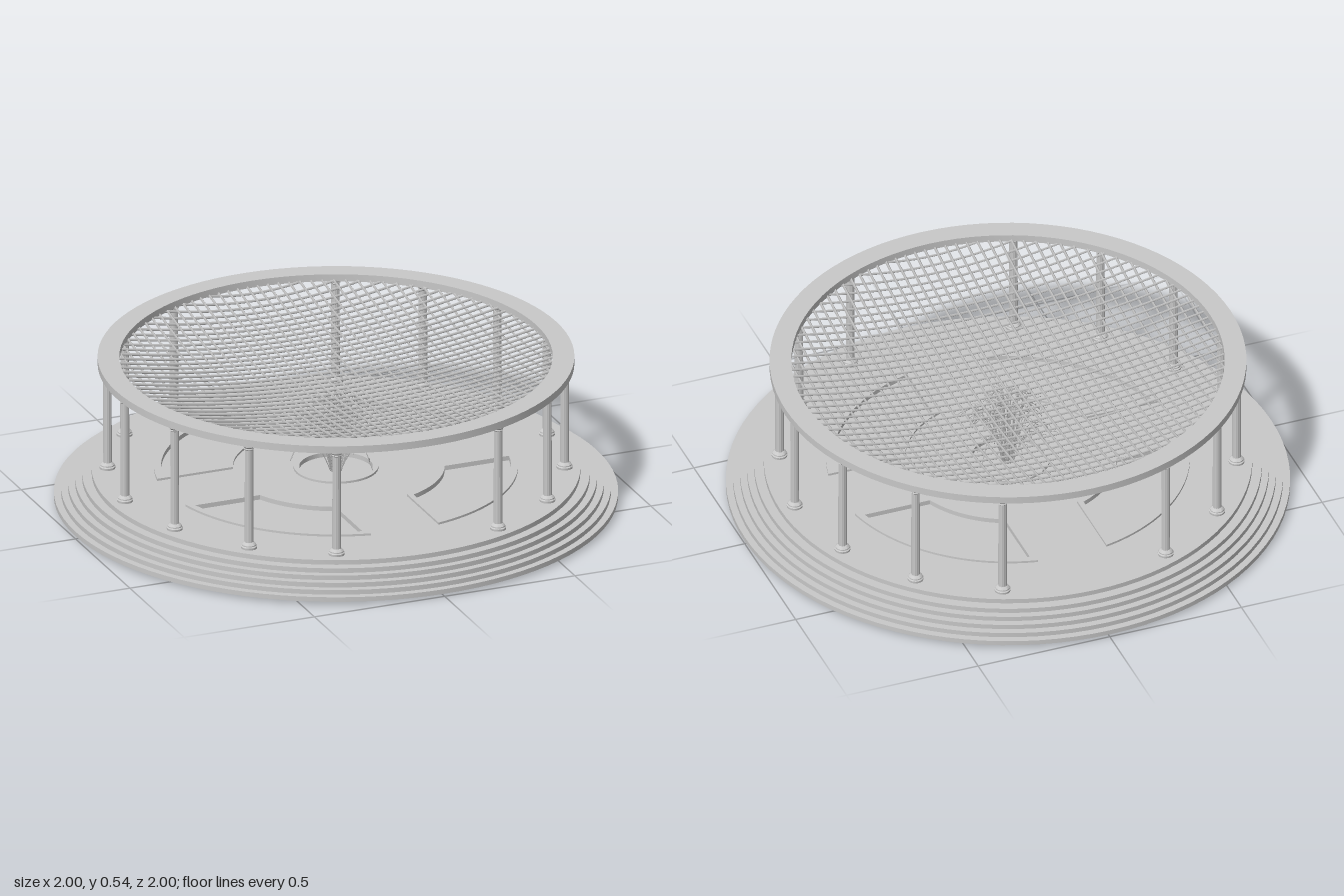
import * as THREE from 'three';
import { mergeGeometries, toCreasedNormals } from 'three/addons/utils/BufferGeometryUtils.js';

const FLOOR = 0.115, UNDER = 0.01, FLOOR_UNDER = 0.0975, KERB = 0.123, RING_Y = 0.515;
const HALF_PI = Math.PI / 2;
const stone = new THREE.MeshStandardMaterial({ color: 0xc8c8c8, side: THREE.DoubleSide });
stone.name = 'pale grey stone';

let seed = 7;
const random = () => {
  seed = (seed * 16807) % 2147483647;
  return seed / 2147483647;
};
const hash = (x, z) => {
  const s = Math.sin(Math.round(x * 500) * 12.99 + Math.round(z * 500) * 78.23) * 43758.55;
  return s - Math.floor(s);
};
const crease = (geometry) => toCreasedNormals(geometry, 0.5);

function add(parent, name, geometry) {
  const mesh = new THREE.Mesh(geometry, stone);
  mesh.name = name;
  parent.add(mesh);
  return mesh;
}

// Plan outline extruded upward from y0 to y1
function slab(shape, y0, y1) {
  const g = new THREE.ExtrudeGeometry(shape, { depth: y1 - y0, bevelEnabled: false, curveSegments: 48 });
  return crease(g.rotateX(-HALF_PI).translate(0, y0, 0));
}

function circle(r, Type = THREE.Shape) {
  return new Type().absarc(0, 0, r, 0, Math.PI * 2, false);
}

// Quarter-ring bed outline whose straight sides lie at distance d from the axes
function bedOutline(r0, r1, d, quarter, Type = THREE.Shape) {
  const turn = quarter * HALF_PI, a0 = Math.asin(d / r0), a1 = Math.asin(d / r1);
  const path = new Type();
  path.absarc(0, 0, r1, turn + a1, turn + HALF_PI - a1, false);
  path.absarc(0, 0, r0, turn + HALF_PI - a0, turn + a0, true);
  path.closePath();
  return path;
}

// Jagged sheet under a bed; place(u, v) gives radius and angle
function roughSheet(nu, nv, place) {
  const g = new THREE.PlaneGeometry(1, 1, nu, nv);
  const p = g.attributes.position;
  for (let i = 0; i < p.count; i++) {
    const [r, a] = place(p.getX(i) + 0.5, p.getY(i) + 0.5);
    const x = r * Math.cos(a), z = -r * Math.sin(a);
    p.setXYZ(i, x, 0.035 * hash(x, z), z);
  }
  const flat = g.toNonIndexed();
  flat.computeVertexNormals();
  return flat;
}

// Planter: kerb wall reaching below the floor, soil near the top, rough underside
function buildBed(model, kerb, inner, soil, underside) {
  kerb.holes.push(inner);
  add(model, 'bedKerb', slab(kerb, 0.014, KERB));
  add(model, 'bedSoil', slab(soil, FLOOR_UNDER, 0.106));
  add(model, 'bedUnderside', underside);
}

function buildBase(model) {
  // Thin floor pierced by the planting beds
  const floor = circle(0.866);
  floor.holes.push(circle(0.13, THREE.Path));
  for (let q = 0; q < 4; q++) floor.holes.push(bedOutline(0.385, 0.62, 0.15, q, THREE.Path));
  add(model, 'floor', slab(floor, FLOOR_UNDER, FLOOR));

  // Hollow shell of shallow steps; the floor edge is the last one
  const profile = [];
  [1, 0.975, 0.95, 0.925, 0.9, 0.866].forEach((r, i) => {
    const y = UNDER + i * 0.0175;
    profile.push(new THREE.Vector2(r, y));
    if (i < 5) profile.push(new THREE.Vector2(r, y + 0.0175));
  });
  add(model, 'steps', crease(new THREE.LatheGeometry(profile, 96)));

  // Four quarter beds and a round one in the centre
  for (let q = 0; q < 4; q++) {
    buildBed(model, bedOutline(0.365, 0.645, 0.13, q), bedOutline(0.385, 0.62, 0.15, q, THREE.Path),
      bedOutline(0.385, 0.62, 0.15, q), roughSheet(5, 9, (u, v) => {
        const r = 0.345 + 0.33 * u, a = Math.asin(0.1 / r);
        return [r, q * HALF_PI + a + (HALF_PI - 2 * a) * v];
      }));
  }
  buildBed(model, circle(0.15), circle(0.13, THREE.Path), circle(0.13),
    roughSheet(3, 10, (u, v) => [0.165 * u, Math.PI * 2 * v]));
}

function buildColumns(model) {
  const v = (x, y) => new THREE.Vector2(x, y);
  // The foot passes through the floor
  const foot = crease(new THREE.LatheGeometry([
    v(0, -0.019), v(0.028, -0.019), v(0.028, 0), v(0.029, 0.008), v(0.025, 0.011),
    v(0.025, 0.015), v(0.02, 0.021), v(0.015, 0.024)], 20));
  const capital = crease(new THREE.LatheGeometry([
    v(0.014, -0.024), v(0.018, -0.02), v(0.016, -0.016), v(0.021, -0.01), v(0.021, 0), v(0, 0)], 20));
  // Fluted shaft
  const shaft = new THREE.CylinderGeometry(0.015, 0.016, RING_Y - FLOOR - 0.03, 24, 1, true);
  const p = shaft.attributes.position;
  for (let i = 0; i < p.count; i++) {
    const k = (i % 25) % 2 ? 0.9 : 1;
    p.setXYZ(i, p.getX(i) * k, p.getY(i), p.getZ(i) * k);
  }
  const shaftGeometry = crease(shaft);

  // Sixteen bays, with entrances left open at front and back
  for (let i = 0; i < 16; i++) {
    if (i === 4 || i === 12) continue;
    const a = i * Math.PI / 8;
    const column = new THREE.Group();
    column.name = 'column';
    column.position.set(0.81 * Math.cos(a), 0, 0.81 * Math.sin(a));
    add(column, 'columnFoot', foot).position.y = FLOOR;
    add(column, 'columnShaft', shaftGeometry).position.y = (FLOOR + RING_Y) / 2;
    add(column, 'columnCapital', capital).position.y = RING_Y;
    model.add(column);
  }
}

function buildCanopy(model) {
  const ring = circle(0.845);
  ring.holes.push(circle(0.768, THREE.Path));
  add(model, 'canopyRing', slab(ring, RING_Y, 0.542));

  // Net of crossing bars, each sagging between its two ends on the ring
  const R = 0.775, bars = [];
  for (let i = -19.5; i < 20; i++) {
    const s = i * 0.0385, half = Math.sqrt(R * R - s * s);
    for (const alongX of [true, false]) {
      const points = [];
      for (let k = -4; k <= 4; k++) {
        const t = half * k / 4, y = 0.52 - 0.08 * (half / R) * (1 - k * k / 16);
        points.push(alongX ? new THREE.Vector3(t, y, s) : new THREE.Vector3(s, y, t));
      }
      bars.push(new THREE.TubeGeometry(new THREE.CatmullRomCurve3(points), 20, 0.005, 4));
    }
  }
  add(model, 'canopyNet', mergeGeometries(bars));
}

function buildPlant(model) {
  const stems = [];
  const tube = (points, n, r) =>
    stems.push(new THREE.TubeGeometry(new THREE.CatmullRomCurve3(points), n, r, 3));
  const COUNT = 46;
  for (let i = 0; i < COUNT; i++) {
    // Outer stems arch over and droop, inner ones stand upright
    const a = i * 2.39996, spread = (i + 0.5) / COUNT;
    const reach = 0.02 + 0.15 * spread * (0.8 + 0.3 * random());
    const top = 0.42 - 0.15 * spread * (0.3 + 0.7 * random()) - 0.07 * random();
    const droop = 0.09 * spread * (0.3 + random());
    const at = (d, y, turn = 0) => new THREE.Vector3(d * Math.cos(a + turn), y, d * Math.sin(a + turn));
    const path = [
      at(0.008 + 0.012 * spread, 0.1), at(0.012 + reach * 0.18, 0.1 + (top - 0.1) * 0.35),
      at(0.01 + reach * 0.42, 0.1 + (top - 0.1) * 0.75), at(reach * 0.8, top), at(reach * 1.12, top - droop)];
    tube(path, 10, 0.002);
    // Small side leaves
    const curve = new THREE.CatmullRomCurve3(path);
    for (const t of [0.5, 0.65, 0.8, 0.92]) {
      const from = curve.getPoint(t), turn = (random() - 0.5) * 2.6;
      const tip = from.clone().add(at(0.035, -0.02 + 0.05 * random(), turn));
      const mid = from.clone().lerp(tip, 0.5);
      mid.y += 0.008;
      tube([from, mid, tip], 3, 0.0013);
    }
  }
  add(model, 'centrePlant', mergeGeometries(stems));
}

export function createModel() {
  const model = new THREE.Group();
  model.name = 'roundPergola';
  buildBase(model);
  buildColumns(model);
  buildCanopy(model);
  buildPlant(model);
  return model;
}
